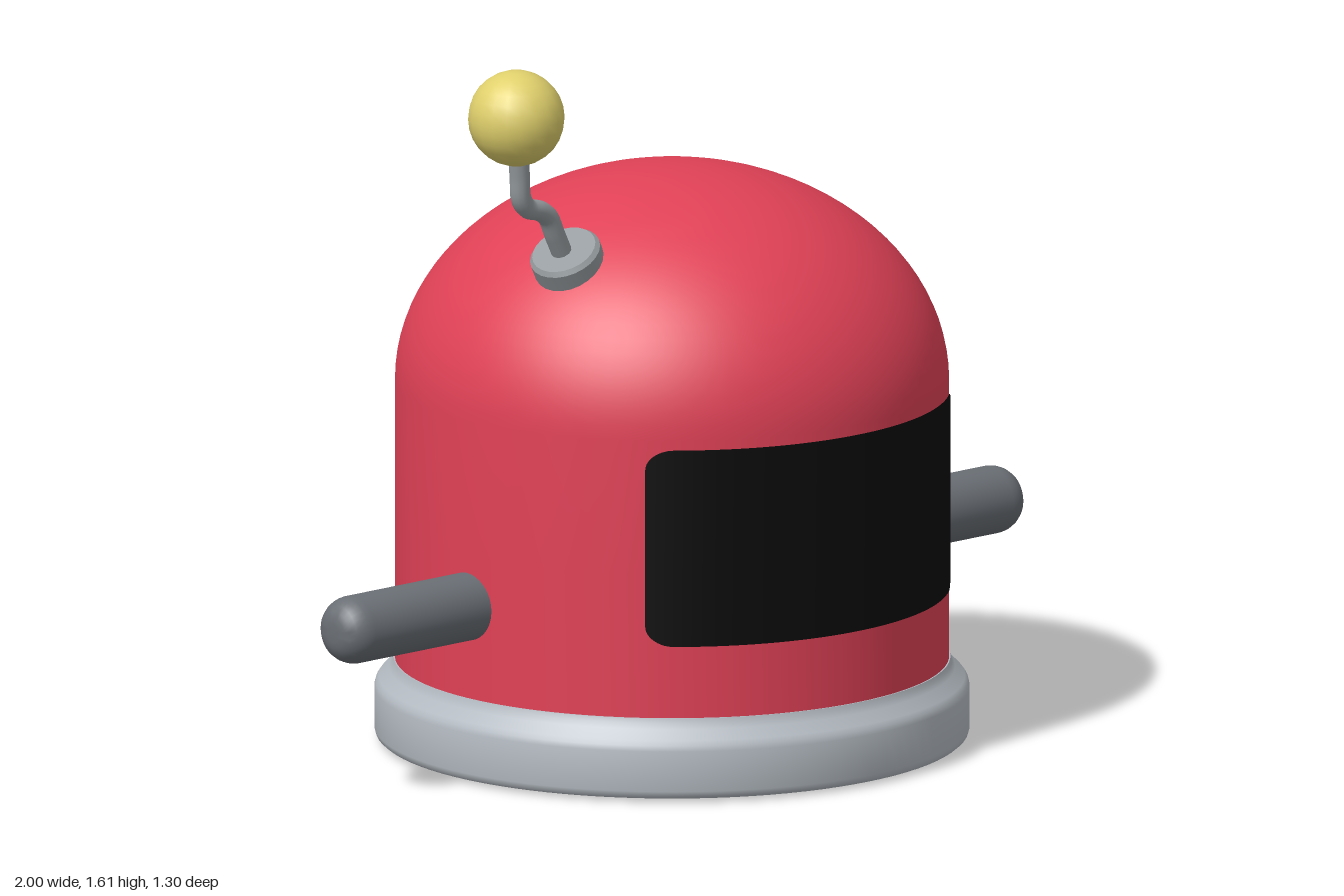
import * as THREE from 'three';
import { toCreasedNormals } from 'three/addons/utils/BufferGeometryUtils.js';

const material = (name, color, side = THREE.FrontSide) => {
  const m = new THREE.MeshStandardMaterial({ color, side });
  m.name = name;
  return m;
};

export function createModel() {
  const model = new THREE.Group();
  model.name = 'domeRobot';

  const red = material('red', 0xe04156);
  const lightGrey = material('lightGrey', 0xb4bbc2);
  const midGrey = material('midGrey', 0x969c9f);
  const darkGrey = material('darkGrey', 0x6a6f75);
  const yellow = material('yellow', 0xe0d06c);
  const black = material('black', 0x0b0b0b, THREE.DoubleSide);
  const hatchDark = material('hatchDark', 0x222b30, THREE.DoubleSide);

  const add = (name, geometry, mat, parent = model) => {
    const mesh = new THREE.Mesh(geometry, mat);
    mesh.name = name;
    parent.add(mesh);
    return mesh;
  };
  const lathe = (points, segments, crease = 0.5) => toCreasedNormals(
    new THREE.LatheGeometry(points.map(([r, y]) => new THREE.Vector2(r, y)), segments), crease);

  // Body: straight wall with an elliptical dome
  const R = 0.605, wallTop = 0.8, domeHeight = 0.48;
  const bodyProfile = [[R, 0.15], [R, 0.5]];
  for (let i = 0; i <= 24; i++) {
    const a = (i / 24) * Math.PI / 2;
    bodyProfile.push([i === 24 ? 0 : R * Math.cos(a), wallTop + domeHeight * Math.sin(a)]);
  }
  add('body', lathe(bodyProfile, 96), red);

  // Base skirt with a sloping shoulder
  add('baseSkirt', lathe([
    [0, 0.006], [0.625, 0.006], [0.64, 0.008], [0.647, 0.014], [0.65, 0.025],
    [0.65, 0.115], [0.647, 0.127], [0.64, 0.137], [0.618, 0.158], [0.611, 0.17], [0.608, 0.18], [0.59, 0.18],
  ], 96, 0.7), lightGrey);

  // Curved visor: a grid bent round the wall, with rounded corners
  const halfW = 0.45, halfH = 0.22, corner = 0.045, midY = 0.56, visorR = R + 0.003;
  const visor = new THREE.PlaneGeometry(2, 2, 96, 2);
  const pos = visor.attributes.position;
  for (let i = 0; i < pos.count; i++) {
    // Sine spacing packs columns into the corners
    const x = halfW * Math.sin(pos.getX(i) * Math.PI / 2);
    const into = Math.max(0, Math.abs(x) - (halfW - corner));
    const h = halfH - corner + Math.sqrt(Math.max(0, corner * corner - into * into));
    pos.setXYZ(i, x, midY + pos.getY(i) * h, Math.sqrt(visorR * visorR - x * x));
  }
  visor.computeVertexNormals();
  add('visor', visor, black);

  // Arms: round-ended rods, mirrored
  const armProfile = [[0.075, 0.55], [0.075, 0.94]];
  for (let i = 1; i <= 6; i++) {
    const a = (i / 6) * Math.PI / 2;
    armProfile.push([0.02 + 0.055 * Math.cos(a), 0.94 + 0.06 * Math.sin(a)]);
  }
  armProfile.push([0, 1]);
  for (const [name, side] of [['leftArm', 1], ['rightArm', -1]]) {
    const arm = add(name, lathe(armProfile, 32, 0.8), darkGrey);
    arm.rotation.z = -side * Math.PI / 2;
    arm.position.y = 0.385;
  }

  // Antenna: tilted collar, bent stalk and ball
  const antenna = new THREE.Group();
  antenna.name = 'antenna';
  model.add(antenna);
  const collar = add('antennaCollar', lathe([
    [0, -0.03], [0.08, -0.03], [0.08, 0.01], [0.072, 0.02], [0, 0.02],
  ], 24), midGrey, antenna);
  collar.position.set(-0.413, 1.158, 0.112);
  collar.quaternion.setFromUnitVectors(
    new THREE.Vector3(0, 1, 0), new THREE.Vector3(-0.5, 0.85, 0.13).normalize());
  const stalkPath = new THREE.CatmullRomCurve3([
    [-0.415, 1.15, 0.11], [-0.45, 1.212, 0.116], [-0.476, 1.258, 0.121], [-0.505, 1.277, 0.126],
    [-0.545, 1.29, 0.131], [-0.567, 1.315, 0.135], [-0.576, 1.37, 0.14], [-0.59, 1.46, 0.147],
  ].map(p => new THREE.Vector3(...p)));
  add('antennaStalk', new THREE.TubeGeometry(stalkPath, 40, 0.023, 12), midGrey, antenna);
  add('antennaBall', new THREE.SphereGeometry(0.106, 20, 14), yellow, antenna)
    .position.set(-0.595, 1.503, 0.15);

  // Underside hatch with four small notches, and a cross at its centre
  const underside = (name, points, y, mat) => {
    const shape = new THREE.Shape(points.map(([x, z]) => new THREE.Vector2(x, z)));
    add(name, new THREE.ShapeGeometry(shape).rotateX(Math.PI / 2), mat).position.y = y;
  };
  const hatch = [];
  for (let deg = 0; deg < 360; deg += 2) {
    const r = Math.abs((deg % 90) - 45) < 2 ? 0.38 : 0.41;
    const a = deg * Math.PI / 180;
    hatch.push([r * Math.cos(a), r * Math.sin(a)]);
  }
  underside('bottomHatch', hatch, 0.003, hatchDark);
  const L = 0.085, w = 0.028;
  const cross = [];
  for (let k = 0; k < 4; k++) {
    const c = Math.round(Math.cos(k * Math.PI / 2)), s = Math.round(Math.sin(k * Math.PI / 2));
    for (const [x, z] of [[L, -w], [L, w], [w, w]]) cross.push([x * c - z * s, x * s + z * c]);
  }
  underside('bottomCross', cross, 0, yellow);

  return model;
}
